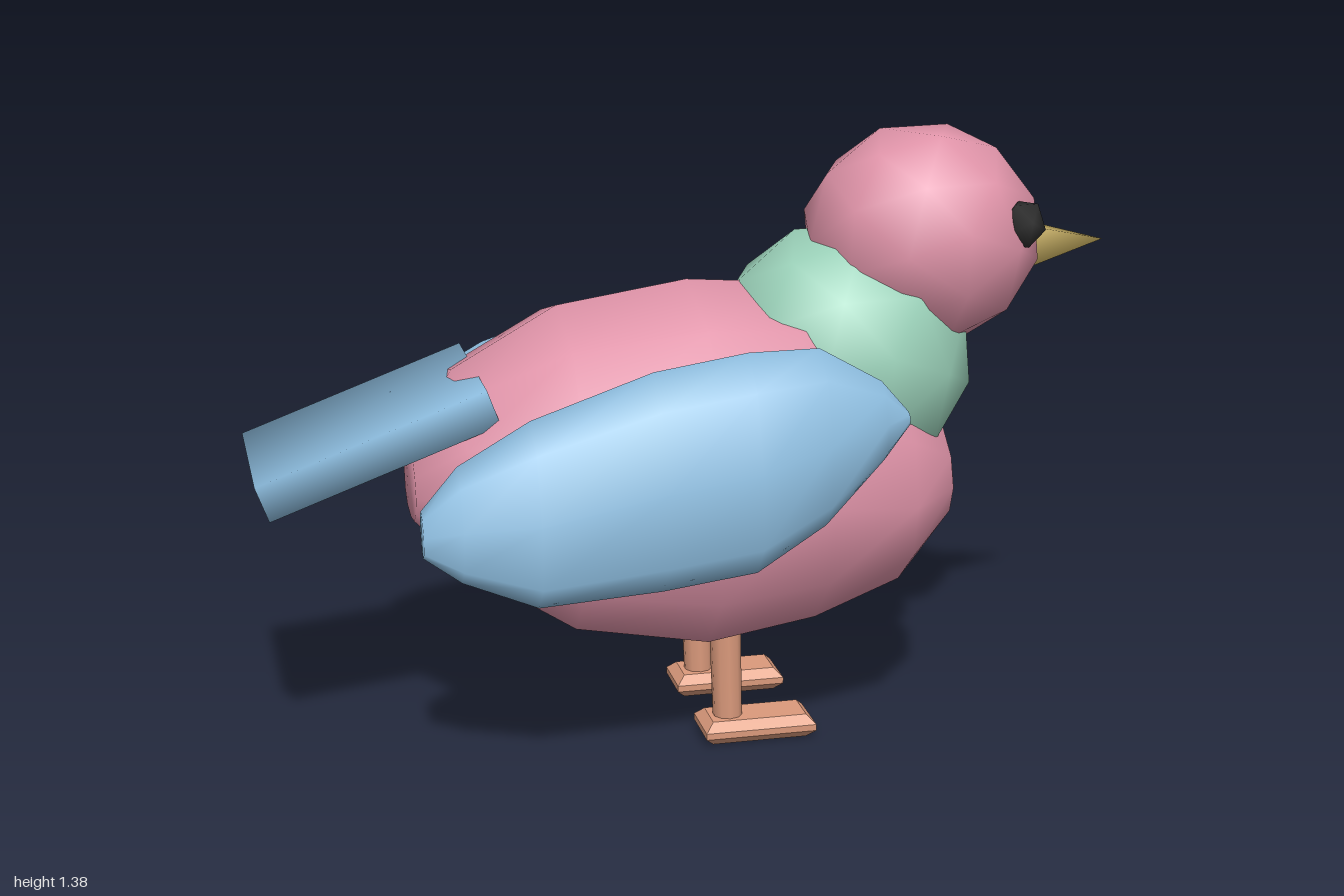
import * as THREE from 'three';
import { mergeVertices } from 'three/addons/utils/BufferGeometryUtils.js';

const mat = (name, color) => {
  const m = new THREE.MeshStandardMaterial({ color });
  m.name = name;
  return m;
};

// Weld a geometry so that shading runs smoothly over its facets
function smooth(geo) {
  geo.deleteAttribute('uv');
  geo.deleteAttribute('normal');
  const welded = mergeVertices(geo, 1e-4);
  welded.computeVertexNormals();
  return welded;
}

// Skin rings along x; each section is [x, yBottom, yTop, halfWidth]
function loft(sections, sides, power, skew, centreZ) {
  const pos = [], index = [], n = sections.length;
  for (const [x, y0, y1, w] of sections) {
    const mid = (y0 + y1) / 2, h = (y1 - y0) / 2;
    for (let j = 0; j < sides; j++) {
      const a = (j / sides) * Math.PI * 2, s = Math.sin(a);
      const y = mid + h * (Math.cos(a) - skew * s * s);
      pos.push(x, y, centreZ(x, y) + w * Math.sign(s) * Math.abs(s) ** power);
    }
  }
  for (const k of [0, n - 1]) {
    const [x, y0, y1] = sections[k], y = (y0 + y1) / 2;
    pos.push(x, y, centreZ(x, y));
  }
  const c0 = n * sides, c1 = c0 + 1, last = (n - 1) * sides;
  for (let j = 0; j < sides; j++) {
    const k = (j + 1) % sides;
    for (let i = 0; i < n - 1; i++) {
      const a = i * sides + j, b = i * sides + k;
      index.push(a, b, a + sides, b, b + sides, a + sides);
    }
    index.push(c0, k, j, c1, last + j, last + k);
  }
  const geo = new THREE.BufferGeometry();
  geo.setAttribute('position', new THREE.Float32BufferAttribute(pos, 3));
  geo.setIndex(index);
  geo.computeVertexNormals();
  return geo;
}

// Faceted ball with a face on top, stretched to the given radii
function ball(rx, ry, rz, detail) {
  const geo = new THREE.IcosahedronGeometry(1, detail);
  const up = new THREE.Vector3(1, 1, 1).normalize();
  geo.applyQuaternion(new THREE.Quaternion().setFromUnitVectors(up, new THREE.Vector3(0, 1, 0)));
  geo.scale(rx, ry, rz);
  return smooth(geo);
}

// Box whose corner normals point diagonally outwards, for a soft look
function softBox(w, h, d) {
  const geo = smooth(new THREE.BoxGeometry(w, h, d));
  const p = geo.attributes.position, k = 1 / Math.sqrt(3);
  for (let i = 0; i < p.count; i++) {
    geo.attributes.normal.setXYZ(i, Math.sign(p.getX(i)) * k, Math.sign(p.getY(i)) * k, Math.sign(p.getZ(i)) * k);
  }
  return geo;
}

// Box with chamfered edges, made from a bevelled extrusion
function chamferBox(w, h, d, b) {
  const x = w / 2 - b, z = d / 2 - b;
  const shape = new THREE.Shape([[-x, -z], [x, -z], [x, z], [-x, z]].map(p => new THREE.Vector2(...p)));
  const geo = new THREE.ExtrudeGeometry(shape, {
    depth: h - 2 * b, bevelEnabled: true, bevelSize: b, bevelThickness: b, bevelSegments: 1,
  });
  geo.translate(0, 0, b - h / 2).rotateX(-Math.PI / 2);
  return geo;
}

export function createModel() {
  const pink = mat('pink plumage', 0xe094a9);
  const green = mat('green neck', 0x9bd1b9);
  const blue = mat('blue feathers', 0x8dbddf);
  const gold = mat('gold beak', 0xd6bb66);
  const orange = mat('orange legs', 0xdb9a7c);
  const black = mat('black eyes', 0x2b2b2b);

  const bird = new THREE.Group();
  bird.name = 'bird';
  const add = (name, geo, material, x = 0, y = 0, z = 0) => {
    const mesh = new THREE.Mesh(geo, material);
    mesh.name = name;
    mesh.position.set(x, y, z);
    bird.add(mesh);
    return mesh;
  };

  // Plump body
  add('body', loft([
    [-0.64, 0.54, 0.71, 0.11],
    [-0.54, 0.43, 0.88, 0.25],
    [-0.30, 0.275, 1.015, 0.36],
    [0.00, 0.222, 1.06, 0.40],
    [0.25, 0.265, 1.04, 0.395],
    [0.46, 0.34, 0.88, 0.325],
    [0.58, 0.47, 0.73, 0.21],
    [0.615, 0.53, 0.65, 0.10],
  ], 12, 0.8, 0.1, () => 0), pink);

  // Neck and head
  add('neck', ball(0.305, 0.305, 0.315, 1), green, 0.365, 0.868, 0);
  add('head', ball(0.275, 0.26, 0.275, 1), pink, 0.553, 1.137, 0);

  // Four-sided beak
  const beak = new THREE.ConeGeometry(0.08, 0.23, 4);
  beak.rotateY(Math.PI / 4).rotateZ(-Math.PI / 2);
  add('beak', smooth(beak), gold, 0.885, 1.105, 0);

  // Tail slab
  const tail = add('tail', softBox(0.54, 0.085, 0.43), blue, -0.73, 0.752, 0);
  tail.rotation.z = 0.35;

  for (const side of [1, -1]) {
    const label = side > 0 ? 'left' : 'right';

    // Folded wing, leaning in at the top and curving in at both ends
    add(label + 'Wing', loft([
      [-0.66, 0.57, 0.67, 0.03],
      [-0.58, 0.515, 0.76, 0.065],
      [-0.42, 0.455, 0.85, 0.095],
      [-0.15, 0.475, 0.94, 0.10],
      [0.06, 0.50, 0.97, 0.10],
      [0.22, 0.59, 0.97, 0.085],
      [0.36, 0.72, 0.89, 0.045],
      [0.42, 0.79, 0.82, 0.015],
    ], 8, 1, 0, (x, y) => side * (0.395 - 0.2 * (y - 0.7) - 0.09 * x * x)), blue);

    // Eyes, the right one narrowed
    const eye = side > 0 ? { height: 0.06, y: 1.187 } : { height: 0.035, y: 1.182 };
    add(label + 'Eye', ball(0.052, eye.height, 0.05, 0), black, 0.737, eye.y, side * 0.177);

    // Leg and chamfered foot
    const leg = add(label + 'Leg', new THREE.CylinderGeometry(0.037, 0.034, 0.30, 10), orange, 0.06, 0.19, side * 0.15);
    leg.rotation.z = 0.03;
    add(label + 'Foot', chamferBox(0.262, 0.055, 0.13, 0.02), orange, 0.131, 0.0275, side * 0.15);
  }
  return bird;
}
